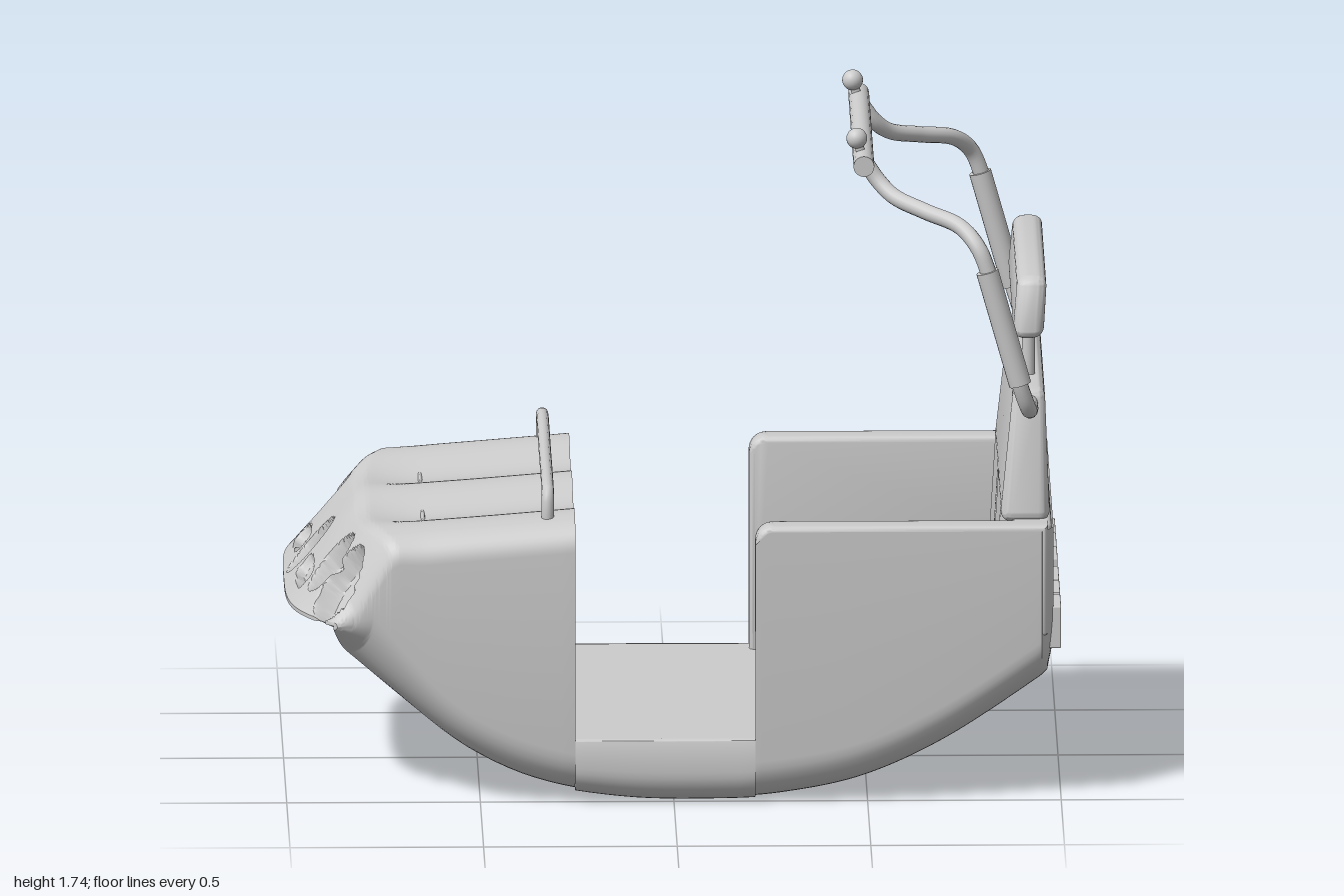
import * as THREE from 'three';
import { toCreasedNormals } from 'three/addons/utils/BufferGeometryUtils.js';
import { RoundedBoxGeometry } from 'three/addons/geometries/RoundedBoxGeometry.js';

const grey = new THREE.MeshStandardMaterial({ color: 0xcccccc });
const shell = new THREE.MeshStandardMaterial({ color: 0xcccccc, side: THREE.DoubleSide });
const V = (x, y, z) => new THREE.Vector3(x, y, z);
const step = THREE.MathUtils.smoothstep;

// Smooth curve y(x) through a few points
function profile(points) {
  const p = new THREE.SplineCurve(points.map(([x, y]) => new THREE.Vector2(x, y))).getPoints(300);
  return (x) => {
    let i = 1;
    while (i < p.length - 1 && p[i].x < x) i++;
    const k = THREE.MathUtils.clamp((x - p[i - 1].x) / (p[i].x - p[i - 1].x || 1), 0, 1);
    return p[i - 1].y + (p[i].y - p[i - 1].y) * k;
  };
}
const keel = profile([[-1, 0.47], [-0.95, 0.435], [-0.74, 0.28], [-0.52, 0.13], [-0.34, 0.05], [-0.12, 0.01],
  [0.1, 0.004], [0.28, 0.015], [0.49, 0.06], [0.705, 0.16], [0.945, 0.32], [0.967, 0.345], [0.98, 0.4]]);
const hood = profile([[-1, 0.49], [-0.96, 0.535], [-0.84, 0.675], [-0.8, 0.707], [-0.74, 0.717], [-0.5, 0.735], [-0.255, 0.755]]);
const rearWidth = profile([[0.2, 0.545], [0.9, 0.545], [0.94, 0.54], [0.965, 0.525], [0.98, 0.49]]);

// Lamp recesses on the nose: x, z, half extents, depth
const lamps = [[-0.93, 0, 0.062, 0.062, 0.04]];
for (const s of [1, -1]) {
  lamps.push([-0.865, s * 0.455, 0.066, 0.066, 0.055], [-0.882, s * 0.335, 0.06, 0.06, 0.05], [-0.948, s * 0.185, 0.022, 0.095, 0.025]);
}
function recess(x, z) {
  let depth = 0;
  for (const [lx, lz, a, b, d] of lamps) {
    const p = a === b ? 2 : 4;
    const q = Math.pow(Math.pow(Math.abs(x - lx) / a, p) + Math.pow(Math.abs(z - lz) / b, p), 1 / p);
    depth = Math.max(depth, d * (1 - step(q, 0.82, 1)));
  }
  return depth;
}

// Cross-section: +z side down, under the keel, up the -z side, then back over the top
function section(x, w, b, t, rb, rt, topPoints = 0, topRule = () => 0) {
  const h = (t - b) / 2, pts = [];
  const arc = (cz, cy, r, a) => {
    for (let i = 0; i <= 8; i++) {
      const q = a - (i / 8) * Math.PI / 2;
      pts.push(V(x, cy + Math.sin(q) * r, cz + Math.cos(q) * r));
    }
  };
  rb = Math.min(rb, h);
  rt = Math.min(rt, h);
  if (!topPoints) pts.push(V(x, t, w));
  arc(w - rb, b + rb, rb, 0);
  arc(-w + rb, b + rb, rb, -Math.PI / 2);
  if (!topPoints) { pts.push(V(x, t, -w)); return pts; }
  arc(-w + rt, t - rt, rt, -Math.PI);
  for (let i = 1; i < topPoints; i++) pts.push(V(x, t, (w - rt) * (2 * i / topPoints - 1)));
  arc(w - rt, t - rt, rt, Math.PI / 2);
  for (const p of pts) if (p.y > b + h) p.y += topRule(p.z);
  pts.push(pts[0].clone());
  return pts;
}

function loft(rings, crease = 0.6) {
  const n = rings[0].length, index = [];
  for (let i = 0; i < rings.length - 1; i++) for (let j = 0; j < n - 1; j++) {
    const a = i * n + j, b = a + n;
    index.push(a, a + 1, b, a + 1, b + 1, b);
  }
  const g = new THREE.BufferGeometry().setFromPoints(rings.flat());
  g.setIndex(index);
  return toCreasedNormals(g, crease);
}
const flatten = (ring) => ring.map((p) => V(p.x, p.y, 0));

// Nose ring: rippled top, front edge swept back towards the sides
function noseRing(s, inset) {
  const ripple = (z) => 0.016 * step(s, -0.9, -0.65) * (Math.cos(z * 2 * Math.PI / 0.42) - 1);
  const ring = section(s, 0.545 - inset, keel(s) + inset, hood(s) - inset, 0.11, 0.06, 170, ripple);
  const mid = (keel(s) + hood(s)) / 2, sweep = 0.13 * (1 - step(s, -1, -0.5));
  for (const p of ring) {
    p.x += sweep * Math.pow(Math.abs(p.z) / 0.545, 4);
    if (!inset && p.y > mid) {
      const d = recess(p.x, p.z);
      p.x += 0.76 * d;
      p.y -= 0.65 * d;
    }
  }
  return ring;
}

export function createModel() {
  const model = new THREE.Group();
  const add = (name, geometry, x = 0, y = 0, z = 0, material = grey) => {
    const m = new THREE.Mesh(geometry, material);
    m.name = name;
    m.position.set(x, y, z);
    model.add(m);
    return m;
  };
  const box = (name, x0, x1, y0, y1, z0, z1, r = 0.01) => add(name,
    new RoundedBoxGeometry(x1 - x0, y1 - y0, z1 - z0, 4, r), (x0 + x1) / 2, (y0 + y1) / 2, (z0 + z1) / 2);
  const rod = (name, a, b, r) => {
    const m = add(name, new THREE.CylinderGeometry(r, r, a.distanceTo(b), 20));
    m.position.copy(a).add(b).multiplyScalar(0.5);
    m.quaternion.setFromUnitVectors(V(0, 1, 0), b.clone().sub(a).normalize());
  };
  const tube = (name, pts, r) => add(name, new THREE.TubeGeometry(new THREE.CatmullRomCurve3(pts), 70, r, 14));
  // Rounded slab narrowing towards the top, with a gently crowned upper edge
  const taperedSlab = (name, x0, x1, y0, y1, halfZ, topZ, topX, crown) => {
    const m = box(name, x0, x1, y0, y1, -halfZ, halfZ, 0.03);
    const p = m.geometry.attributes.position, h = y1 - y0;
    for (let i = 0; i < p.count; i++) {
      const k = p.getY(i) / h + 0.5, z = p.getZ(i);
      p.setXYZ(i, p.getX(i) * (1 + (topX - 1) * k) + 0.012 * k, p.getY(i) - crown * k * (z / halfZ) ** 2, z * (1 + (topZ / halfZ - 1) * k));
    }
    m.geometry.computeVertexNormals();
    m.geometry = toCreasedNormals(m.geometry, 0.7);
  };

  // Hollow nose with its inner lining
  const nose = [];
  for (let i = 0; i <= 70; i++) nose.push(noseRing(-1 + 0.26 * i / 70, 0));
  for (let i = 1; i <= 14; i++) nose.push(noseRing(-0.74 + 0.485 * i / 14, 0));
  for (let i = 0; i <= 10; i++) nose.push(noseRing(-0.255 - 0.4 * i / 10, 0.025));
  nose.unshift(nose[0].map((p) => V(p.x, 0.48, p.z)));
  nose.push(flatten(nose[nose.length - 1]));
  add('nose', loft(nose), 0, 0, 0, shell);

  // Low middle hull and the rear tub
  const middle = [], rear = [];
  for (let i = 0; i <= 12; i++) {
    const x = -0.255 + 0.465 * i / 12;
    middle.push(section(x, 0.545, keel(x), 0.175, 0.11, 0.002, 4));
  }
  add('middleHull', loft(middle), 0, 0, 0, shell);
  for (let i = 0; i <= 50; i++) {
    const x = 0.21 + 0.77 * i / 50;
    rear.push(section(x, rearWidth(x), keel(x), 0.69 + 0.037 * step(x, 0.2, 0.25), 0.11, 0));
  }
  rear.push(flatten(rear[rear.length - 1]));
  add('rearHull', loft(rear), 0, 0, 0, shell);

  // Floor running under the nose and up to the seat
  const outline = [[-0.57, 0.4], [-0.45, 0.49], [-0.3, 0.53], [0.4, 0.53]];
  const floorShape = new THREE.Shape([...outline, ...outline.map(([x, z]) => [x, -z]).reverse()].map(([x, z]) => new THREE.Vector2(x, z)));
  add('floor', new THREE.ShapeGeometry(floorShape).rotateX(-Math.PI / 2), 0, 0.177, 0, shell);

  // Side walls with rounded tops
  const wall = new THREE.Shape();
  wall.moveTo(0.225, 0.18);
  wall.lineTo(0.5, 0.2);
  wall.lineTo(0.95, 0.46);
  wall.lineTo(0.95, 0.725);
  wall.lineTo(0.26, 0.725);
  wall.quadraticCurveTo(0.225, 0.725, 0.225, 0.69);
  const wallGeometry = toCreasedNormals(new THREE.ExtrudeGeometry(wall,
    { depth: 0.052, bevelThickness: 0.015, bevelSize: 0.015, bevelSegments: 4 }), 0.7);
  for (const z of [0.476, -0.528]) add('sideWall', wallGeometry, 0, 0, z);
  box('rearWall', 0.87, 0.976, 0.42, 0.74, -0.49, 0.49, 0.015);

  // Bench, seat backs and the grip post between the riders
  box('seatBase', 0.36, 0.65, 0.17, 0.32, -0.47, 0.47);
  box('seatCushion', 0.33, 0.87, 0.31, 0.42, -0.47, 0.47, 0.025);
  for (const s of [1, -1]) {
    const back = box('seatBack', 0.835, 0.905, 0.4, 0.8, s * 0.22 - 0.205, s * 0.22 + 0.205, 0.034);
    back.rotation.z = -0.06;
  }
  const grip = [[0.085, 0], [0.07, 0.05], [0.052, 0.1], [0.042, 0.17], [0.036, 0.22], [0.022, 0.245], [0, 0.255]];
  const post = add('gripPost', new THREE.LatheGeometry(grip.map(([r, y]) => new THREE.Vector2(r, y)), 28), 0.385, 0.35, 0);
  post.scale.z = 0.72;
  post.rotation.z = -0.1;

  // Upper backrest and headrest
  taperedSlab('backrest', 0.842, 0.972, 0.73, 1.095, 0.468, 0.4, 0.62, 0.025);
  taperedSlab('headrest', 0.876, 0.956, 1.2, 1.375, 0.4, 0.362, 0.95, 0.02);

  // Canopy frame, rail ends and tail lamps on both sides
  for (const s of [1, -1]) {
    rod('headrestPost', V(0.92, 1.05, s * 0.235), V(0.92, 1.24, s * 0.235), 0.017);
    tube('frameTube', [V(0.92, 1.035, s * 0.37), V(0.92, 1.035, s * 0.48), V(0.915, 1.05, s * 0.53), V(0.895, 1.11, s * 0.555),
      V(0.85, 1.27, s * 0.555), V(0.81, 1.42, s * 0.555), V(0.785, 1.48, s * 0.545), V(0.74, 1.525, s * 0.5),
      V(0.65, 1.55, s * 0.43), V(0.57, 1.575, s * 0.365), V(0.53, 1.61, s * 0.335), V(0.495, 1.66, s * 0.325)], 0.021);
    rod('frameSleeve', V(0.893, 1.12, s * 0.555), V(0.808, 1.42, s * 0.555), 0.029);
    add('frameBall', new THREE.SphereGeometry(0.027, 20, 14), 0.475, 1.72, s * 0.325);
    rod('ballStem', V(0.49, 1.67, s * 0.325), V(0.477, 1.71, s * 0.325), 0.012);
    for (const [a, b] of [[0.04, 0.185], [0.194, 0.338], [0.352, 0.495]]) {
      box('tailLamp', 0.945, 1, 0.405, 0.515, Math.min(s * a, s * b), Math.max(s * a, s * b), 0.003);
    }
  }
  rod('frameCrossbar', V(0.492, 1.665, -0.412), V(0.492, 1.665, 0.412), 0.027);

  // Grab rail across the hood
  tube('grabRail', [V(-0.325, 0.71, -0.45), V(-0.325, 0.78, -0.45), V(-0.325, 0.808, -0.44), V(-0.325, 0.815, -0.41),
    V(-0.325, 0.815, 0), V(-0.325, 0.815, 0.41), V(-0.325, 0.808, 0.44), V(-0.325, 0.78, 0.45), V(-0.325, 0.71, 0.45)], 0.016);
  return model;
}
